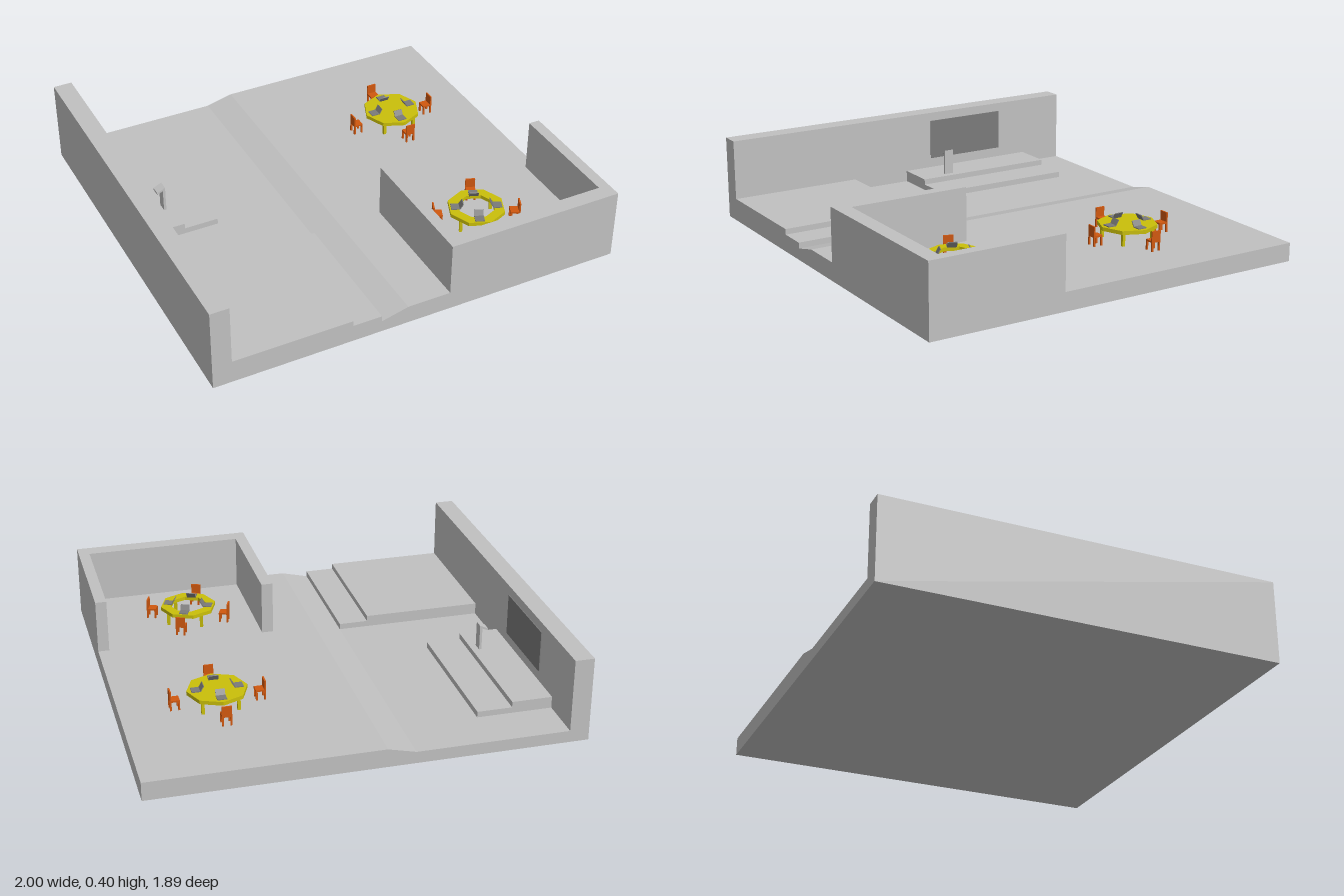
import * as THREE from 'three';

const material = (name, color) => {
  const m = new THREE.MeshStandardMaterial({ color });
  m.name = name;
  return m;
};

export function createModel() {
  const concrete = material('concrete grey', 0xc0c0c0);
  const grey = material('screen grey', 0x7a7a7a);
  const yellow = material('table yellow', 0xcabf0a);
  const orange = material('chair orange', 0xd0580f);
  const model = new THREE.Group();
  model.name = 'meetingHall';

  const add = (parent, name, geometry, mat) => {
    const mesh = new THREE.Mesh(geometry, mat);
    mesh.name = name;
    parent.add(mesh);
    return mesh;
  };
  // Box given by its lower and upper corners
  const box = (parent, name, mat, [x0, y0, z0], [x1, y1, z1]) => {
    const mesh = add(parent, name, new THREE.BoxGeometry(x1 - x0, y1 - y0, z1 - z0), mat);
    mesh.position.set((x0 + x1) / 2, (y0 + y1) / 2, (z0 + z1) / 2);
    return mesh;
  };
  const points = (list) => list.map(([x, y]) => new THREE.Vector2(x, y));
  // Profile in x and y, swept from z0 to z1
  const sweep = (name, profile, z0, z1) => {
    const g = new THREE.ExtrudeGeometry(new THREE.Shape(points(profile)), { depth: z1 - z0, bevelEnabled: false });
    return add(model, name, g.translate(0, 0, z0), concrete);
  };

  const END = 0.947, FLOOR = 0.088, LOW = 0.056, STEP = 0.084, STAGE = 0.111, ROOM = 0.345;

  // Floor with its ramp, and the tall side wall
  sweep('floorAndWall', [
    [-1, 0], [1, 0], [1, FLOOR], [-0.07, FLOOR], [-0.2, LOW], [-0.91, LOW], [-0.91, 0.403], [-1, 0.403],
  ], -END, END);

  // Two stepped platforms
  const platform = (name, stepX, edgeX, z0, z1) => sweep(name, [
    [-0.91, LOW], [edgeX, LOW], [edgeX, STEP], [stepX, STEP], [stepX, STAGE], [-0.91, STAGE],
  ], z0, z1);
  platform('frontPlatform', -0.34, -0.2, 0.29, END);
  platform('stage', -0.72, -0.555, -0.727, -0.01);

  // Lectern and wall screen
  sweep('lectern', [
    [-0.765, STAGE], [-0.753, STAGE], [-0.753, 0.236], [-0.793, 0.218], [-0.793, 0.208], [-0.765, 0.22],
  ], -0.197, -0.15);
  box(model, 'wallScreen', grey, [-0.91, 0.16, -0.57], [-0.905, 0.36, -0.155]);

  // Walls of the small room, open to the back
  box(model, 'roomRightWall', concrete, [0.14, FLOOR, 0.29], [0.195, ROOM, END]);
  box(model, 'roomLeftWall', concrete, [0.947, FLOOR, 0.29], [1, ROOM, END]);
  box(model, 'roomFrontWall', concrete, [0.195, FLOOR, 0.872], [0.947, ROOM, END]);

  const octagon = (r) => points(Array.from({ length: 8 }, (_, i) =>
    [r * Math.cos(i * Math.PI / 4), r * Math.sin(i * Math.PI / 4)]));

  // Chair centred on its seat, facing -z
  const chair = (parent, z) => {
    const g = new THREE.Group();
    g.name = 'chair';
    g.position.z = z;
    parent.add(g);
    const h = 0.023, t = 0.008;
    box(g, 'seat', orange, [-h, 0.042, -h], [h, 0.05, h]);
    box(g, 'backrest', orange, [-h, 0.05, h - 0.007], [h, 0.095, h]);
    for (const x of [-h, h - t]) for (const z0 of [-h, h - t]) {
      box(g, 'chairLeg', orange, [x, 0, z0], [x + t, 0.042, z0 + t]);
    }
  };

  // Laptop opening toward the chair, lid leaning to the table centre
  const laptop = (parent) => {
    const g = new THREE.Group();
    g.name = 'laptop';
    g.position.set(0, 0.078, 0.08);
    parent.add(g);
    box(g, 'keyboard', grey, [-0.022, 0, 0], [0.022, 0.004, 0.039]);
    const lid = new THREE.Group();
    lid.name = 'lid';
    lid.rotation.x = -0.52;
    g.add(lid);
    box(lid, 'laptopScreen', grey, [-0.022, 0, -0.002], [0.022, 0.032, 0.002]);
  };

  // Octagonal table, solid or a ring, with four places
  const tableSet = (name, x, z, turn, radius, hole, distances) => {
    const set = new THREE.Group();
    set.name = name;
    set.position.set(x, FLOOR, z);
    model.add(set);
    const shape = new THREE.Shape(octagon(radius));
    if (hole) shape.holes.push(new THREE.Path(octagon(hole)));
    const top = new THREE.ExtrudeGeometry(shape, { depth: 0.018, bevelEnabled: false });
    add(set, 'tabletop', top.rotateX(-Math.PI / 2), yellow).position.y = 0.06;
    distances.forEach((distance, i) => {
      const place = new THREE.Group();
      place.name = 'place';
      place.rotation.y = turn + i * Math.PI / 2;
      set.add(place);
      chair(place, distance);
      laptop(place);
      box(place, 'tableLeg', yellow, [0.075, 0, 0.075], [0.089, 0.06, 0.089]);
    });
  };
  tableSet('roundTable', 0.553, -0.355, 0, 0.14, 0, [0.178, 0.197, 0.193, 0.197]);
  tableSet('ringTable', 0.513, 0.54, -0.39, 0.136, 0.088, [0.178, 0.183, 0.172, 0.181]);

  return model;
}
